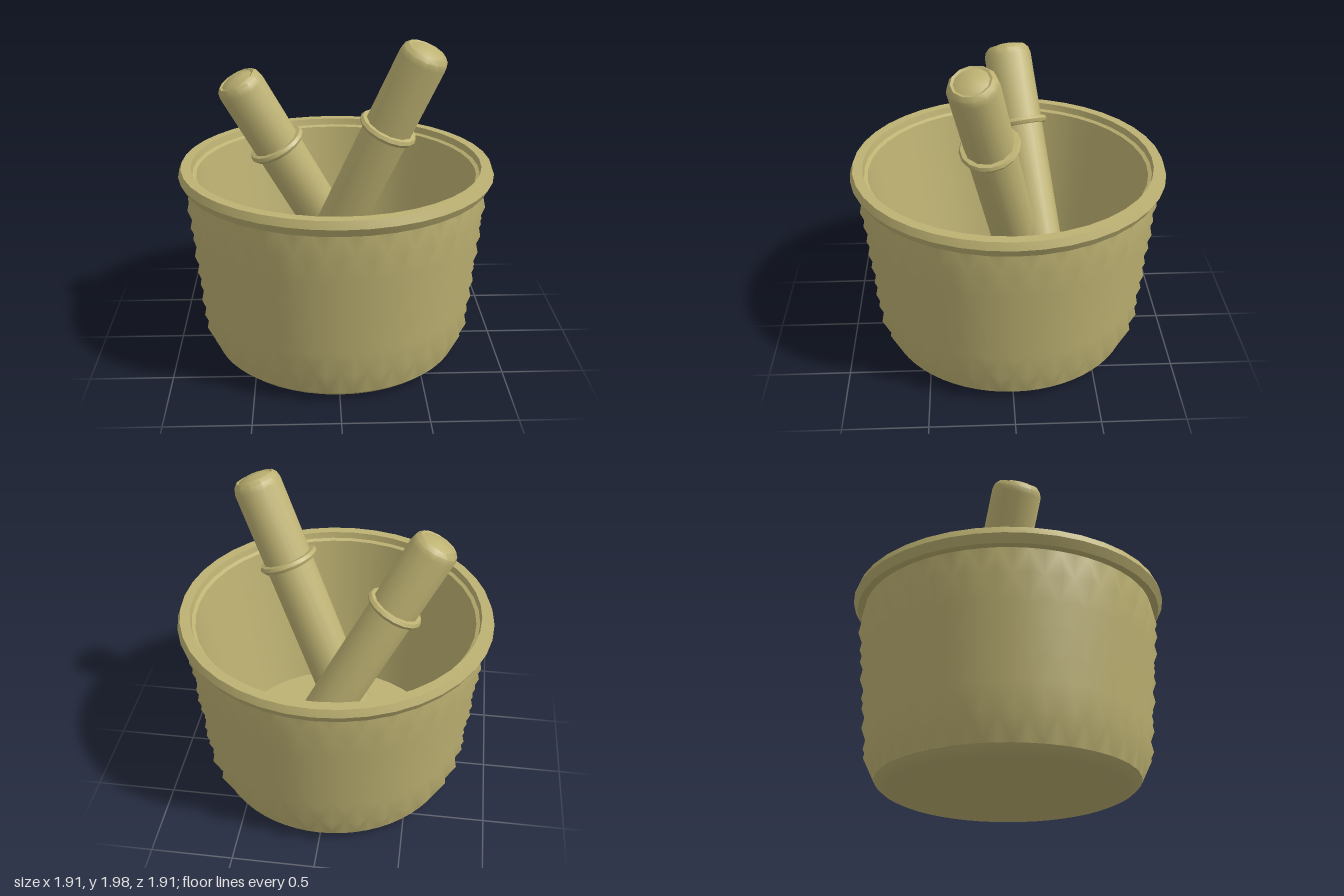
import * as THREE from 'three';
import { toCreasedNormals } from 'three/addons/utils/BufferGeometryUtils.js';

const straw = new THREE.MeshStandardMaterial({ color: 0xbdb172 });
straw.name = 'straw';

// Turned part from a [radius, height] profile, smooth around but sharp at its edges
function turned(name, profile, sides, crease = 0.65) {
  const points = profile.map(([r, y]) => new THREE.Vector2(r, y));
  const mesh = new THREE.Mesh(toCreasedNormals(new THREE.LatheGeometry(points, sides), crease), straw);
  mesh.name = name;
  return mesh;
}

// Tapered wall covered in staggered diamond studs
function studdedWall() {
  const columns = 64, rows = 7, y0 = 0.045, y1 = 1.11;
  const positions = [], index = [];
  const at = (i, j) => j * columns + (i % columns);
  for (let j = 0; j <= rows; j++) {
    const t = j / rows, edge = j === 0 || j === rows;
    for (let i = 0; i < columns; i++) {
      const stud = !edge && (i + j) % 2 === 0 ? 0.045 : 0;
      const r = (j === 0 ? 0.77 : 0.785 + 0.1 * t) + stud;
      const a = (i / columns) * Math.PI * 2;
      positions.push(r * Math.sin(a), y0 + (y1 - y0) * t, r * Math.cos(a));
    }
  }
  for (let j = 0; j < rows; j++) {
    for (let i = 0; i < columns; i++) {
      const a = at(i, j), b = at(i + 1, j), c = at(i + 1, j + 1), d = at(i, j + 1);
      // Split each cell along the valley between studs
      if ((i + j) % 2 === 0) index.push(a, b, d, b, c, d);
      else index.push(a, b, c, a, c, d);
    }
  }
  const geometry = new THREE.BufferGeometry();
  geometry.setAttribute('position', new THREE.Float32BufferAttribute(positions, 3));
  geometry.setIndex(index);
  geometry.computeVertexNormals();
  const mesh = new THREE.Mesh(geometry, straw);
  mesh.name = 'studdedWall';
  return mesh;
}

// Round stick with a chamfered, domed tip and a collar, standing from foot to tip
function stick(name, foot, tip, collarFromTip) {
  const start = new THREE.Vector3(...foot), axis = new THREE.Vector3(...tip).sub(start);
  const length = axis.length(), r = 0.147;
  const group = new THREE.Group();
  group.name = name;
  const shaft = turned('shaft', [
    [0, 0], [r, 0], [r, length - 0.06], [0.138, length - 0.025], [0.115, length],
    [0.1, length - 0.006], [0.06, length + 0.012], [0, length + 0.018],
  ], 12);
  const collar = turned('collar', [
    [0.14, -0.022], [0.17, -0.02], [0.181, 0], [0.17, 0.02], [0.14, 0.022],
  ], 16);
  collar.position.y = length - collarFromTip;
  group.add(shaft, collar);
  group.position.copy(start);
  group.quaternion.setFromUnitVectors(new THREE.Vector3(0, 1, 0), axis.normalize());
  return group;
}

export function createModel() {
  const model = new THREE.Group();
  model.name = 'bucketWithSticks';

  // Bucket
  model.add(turned('base', [[0, 0], [0.7, 0], [0.74, 0.018], [0.77, 0.045]], 48));
  model.add(studdedWall());
  model.add(turned('rimAndLining', [
    [0.87, 1.11], [0.93, 1.11], [0.957, 1.16], [0.94, 1.205], [0.88, 1.205],
    [0.872, 1.165], [0.85, 1.155], [0.69, 0.13], [0, 0.13],
  ], 40));

  // Crossed sticks leaning on the rim
  model.add(stick('leftStick', [-0.21, 0.22, -0.13], [0.51, 1.935, 0.215], 0.54));
  model.add(stick('rightStick', [0.21, 0.22, -0.26], [-0.59, 1.715, -0.015], 0.49));
  return model;
}
